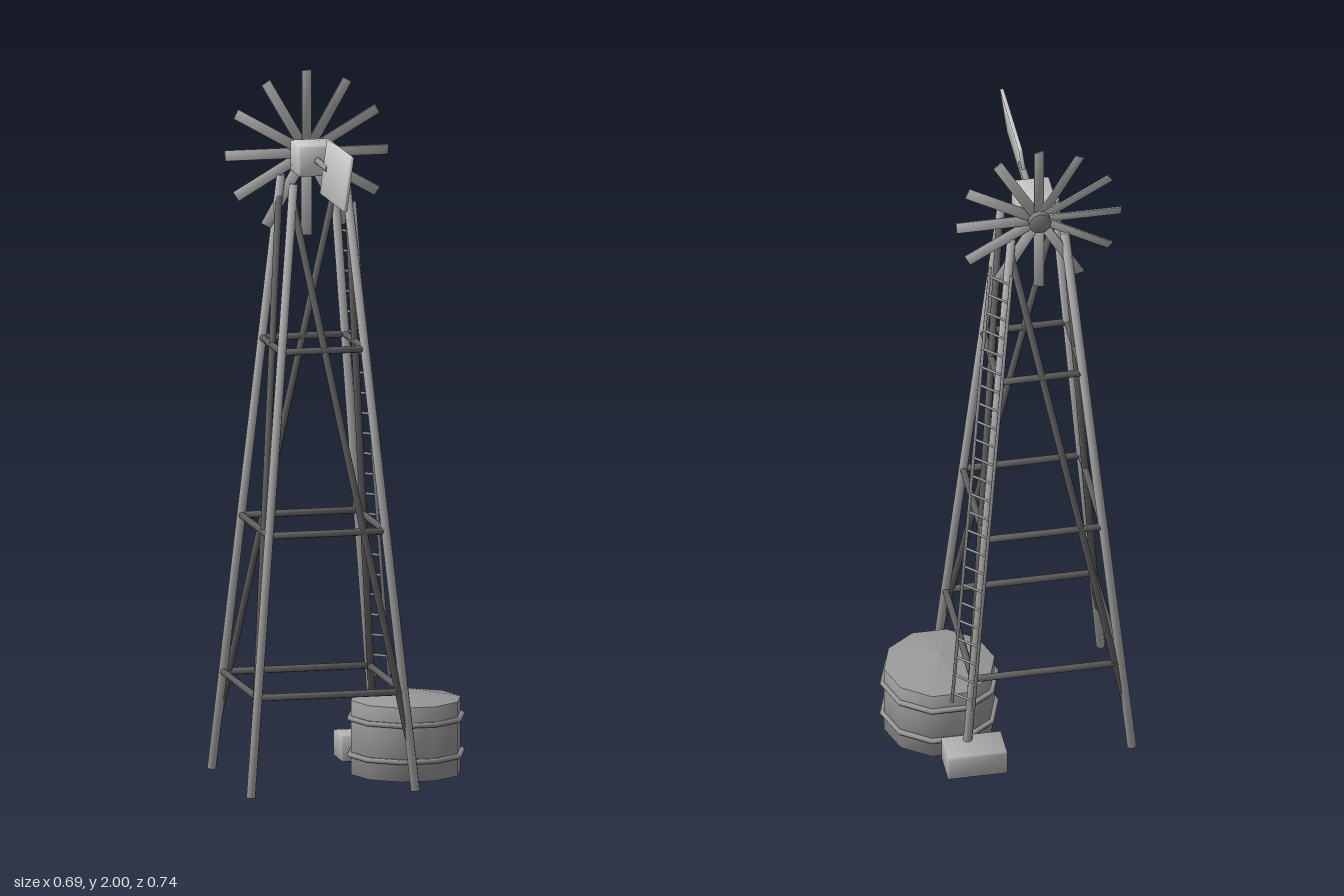
import * as THREE from 'three';
import { RoundedBoxGeometry } from 'three/addons/geometries/RoundedBoxGeometry.js';

const paint = (color) => new THREE.MeshStandardMaterial({ color });
const pale = paint(0xcccccc);
const galvanised = paint(0xb0b0b0);
const steel = paint(0x999999);
const hubSteel = paint(0x7c7c7c);
const darkSteel = paint(0x626262);
const V = (x, y, z) => new THREE.Vector3(x, y, z);

// Leans the normals outwards at the ends and corners, so edges shade softly
function soften(geometry) {
  geometry.computeBoundingBox();
  const half = geometry.boundingBox.getSize(V(0, 0, 0)).multiplyScalar(0.5);
  const { position, normal } = geometry.attributes;
  const out = V(0, 0, 0);
  const n = V(0, 0, 0);
  for (let i = 0; i < position.count; i++) {
    out.fromBufferAttribute(position, i).divide(half).normalize();
    n.fromBufferAttribute(normal, i).add(out).normalize();
    normal.setXYZ(i, n.x, n.y, n.z);
  }
  return geometry;
}

const softBox = (w, h, d, bevel) => soften(new RoundedBoxGeometry(w, h, d, 2, bevel));
const softCylinder = (r, h, sides) => soften(new THREE.CylinderGeometry(r, r, h, sides));

function add(parent, name, geometry, material, x = 0, y = 0, z = 0) {
  const mesh = new THREE.Mesh(geometry, material);
  mesh.name = name;
  mesh.position.set(x, y, z);
  parent.add(mesh);
  return mesh;
}

function group(parent, name, x = 0, y = 0, z = 0) {
  const g = new THREE.Group();
  g.name = name;
  g.position.set(x, y, z);
  parent.add(g);
  return g;
}

// Round bar running from point a to point b
function bar(parent, name, a, b, radius, material, sides = 8) {
  const dir = b.clone().sub(a);
  const mesh = add(parent, name, softCylinder(radius, dir.length(), sides), material);
  mesh.position.copy(a).add(b).multiplyScalar(0.5);
  mesh.quaternion.setFromUnitVectors(V(0, 1, 0), dir.normalize());
}

export function createModel() {
  const model = new THREE.Group();
  model.name = 'windpump';

  // Tower: four leaning legs, three rings of girts, one brace on each side
  const tower = group(model, 'tower', -0.097, 0, -0.062);
  const corners = [[-1, 1], [1, 1], [1, -1], [-1, -1]];
  const corner = (i, y) => {
    const half = 0.236 - (0.161 * y) / 1.71;
    const [sx, sz] = corners[i % 4];
    return V(sx * half, y, sz * half);
  };
  for (let i = 0; i < 4; i++) {
    bar(tower, 'leg', corner(i, 0.002), corner(i, 1.708), 0.013, galvanised);
    for (const y of [0.28, 0.73, 1.24]) bar(tower, 'girt', corner(i, y), corner(i + 1, y), 0.01, darkSteel);
    bar(tower, 'brace', corner(i, 1.66), corner(i + 1, 0.12), 0.01, darkSteel);
  }

  // Ladder leaning along the back left leg
  const ladder = group(model, 'ladder');
  const railA = [V(0.123, 0.215, -0.332), V(-0.01, 1.62, -0.198)];
  const railB = [V(0.174, 0.215, -0.282), V(0.041, 1.62, -0.148)];
  for (const rail of [railA, railB]) bar(ladder, 'ladderRail', ...rail, 0.005, steel, 6);
  const rungs = 24;
  for (let i = 0; i < rungs; i++) {
    const t = (i + 0.5) / rungs;
    bar(ladder, 'rung', railA[0].clone().lerp(railA[1], t), railB[0].clone().lerp(railB[1], t), 0.004, steel, 6);
  }

  // Ten-sided water tank with hoops and a low conical roof
  const tank = group(model, 'waterTank', 0.176, 0, -0.098);
  const turn = Math.PI / 2;
  add(tank, 'tankBody', softCylinder(0.157, 0.21, 10), steel, 0, 0.11).rotation.y = turn;
  add(tank, 'tankRoof', new THREE.ConeGeometry(0.157, 0.03, 10), steel, 0, 0.23).rotation.y = turn;
  for (const y of [0.062, 0.165]) {
    add(tank, 'tankHoop', new THREE.TorusGeometry(0.161, 0.008, 6, 10), steel, 0, y).rotation.x = turn;
  }

  // Low trough behind the tank
  add(model, 'trough', softBox(0.17, 0.075, 0.103, 0.005), galvanised, 0.117, 0.047, -0.317);

  // Head: gearbox, hub and twelve pitched blades
  const head = group(model, 'head', -0.098, 1.766, 0);
  add(head, 'gearbox', softBox(0.108, 0.088, 0.108, 0.006), pale, 0, 0, -0.062);
  add(head, 'hub', softCylinder(0.032, 0.048, 12), hubSteel, 0, 0, -0.142).rotation.x = turn;
  const wheel = group(head, 'wheel', 0, 0, -0.143);
  for (let i = 0; i < 12; i++) {
    const spoke = group(wheel, 'bladeArm');
    spoke.rotation.z = (i * Math.PI) / 6;
    add(spoke, 'blade', softBox(0.03, 0.214, 0.005, 0.001), galvanised, 0, 0.127).rotation.y = 0.3;
  }

  // Tail boom and slightly tilted vane
  bar(head, 'tailBoom', V(0, 0, -0.02), V(0, 0, 0.123), 0.01, steel);
  add(head, 'tailVane', softBox(0.011, 0.157, 0.29, 0.004), pale, 0, 0, 0.223).rotation.z = -0.13;

  return model;
}
